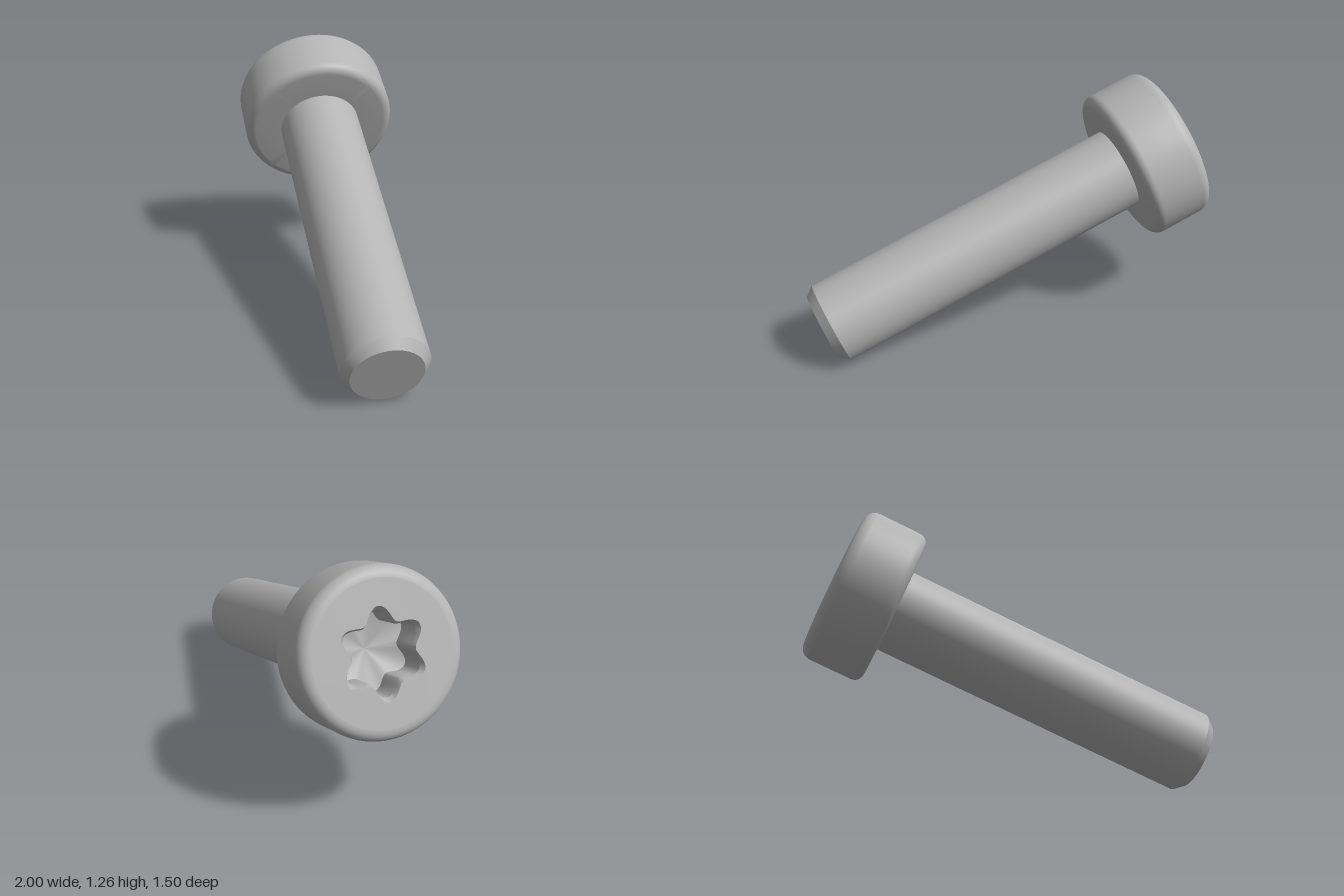
import * as THREE from 'three';
import { toCreasedNormals } from 'three/addons/utils/BufferGeometryUtils.js';

const SHAFT_R = 0.215, TIP_R = 0.176, SHAFT_L = 1.745, CHAMFER = 0.048;
const HEAD_R = 0.407, HEAD_H = 0.335, TOP_ROUND = 0.06, BOTTOM_ROUND = 0.05;
const SIDES = 96;

const steel = new THREE.MeshStandardMaterial({ color: 0xb4b4b4 });
steel.name = 'steel grey';

function part(name, geometry, crease = 0.5) {
  const mesh = new THREE.Mesh(toCreasedNormals(geometry, crease), steel);
  mesh.name = name;
  return mesh;
}

function lathe(points) {
  return new THREE.LatheGeometry(points.map(([x, y]) => new THREE.Vector2(x, y)), SIDES);
}

// Quarter-round profile points about (cx, cy), starting at angle a
function round(cx, cy, r, a) {
  return Array.from({ length: 9 }, (_, i) => {
    const t = a + (i / 8) * Math.PI / 2;
    return [cx + r * Math.cos(t), cy + r * Math.sin(t)];
  });
}

// Six-lobed outline, counterclockwise
function lobes(scale) {
  return Array.from({ length: 120 }, (_, i) => {
    const t = (i / 120) * Math.PI * 2;
    const r = scale * (0.19 - 0.031 * Math.cos(6 * t));
    return new THREE.Vector2(r * Math.cos(t), r * Math.sin(t));
  });
}

// Drive recess: loft of lobed rings [scale, y], facing inward
function recess(levels) {
  const positions = [], index = [], n = 120;
  for (const [scale, y] of levels)
    for (const p of lobes(scale)) positions.push(p.x, y, -p.y);
  for (let j = 0; j < levels.length - 1; j++)
    for (let i = 0; i < n; i++) {
      const a = j * n + i, b = j * n + (i + 1) % n;
      index.push(a, b, a + n);
      if (levels[j + 1][0] > 0) index.push(b, b + n, a + n);
    }
  const g = new THREE.BufferGeometry();
  g.setAttribute('position', new THREE.Float32BufferAttribute(positions, 3));
  g.setIndex(index);
  return g;
}

export function createModel() {
  const screw = new THREE.Group();
  screw.name = 'screw';

  // Shaft with chamfered tip; the head sits on y = 0
  screw.add(part('shaft', lathe([
    [0, -SHAFT_L], [TIP_R, -SHAFT_L], [SHAFT_R, -SHAFT_L + CHAMFER], [SHAFT_R, 0],
  ])));

  // Head sides and underside with rounded rims
  screw.add(part('head', lathe([
    [SHAFT_R, 0],
    ...round(HEAD_R - BOTTOM_ROUND, BOTTOM_ROUND, BOTTOM_ROUND, -Math.PI / 2),
    ...round(HEAD_R - TOP_ROUND, HEAD_H - TOP_ROUND, TOP_ROUND, 0),
  ])));

  // Flat head face with the lobed opening
  const face = new THREE.Shape().absarc(0, 0, HEAD_R - TOP_ROUND, 0, Math.PI * 2);
  face.holes.push(new THREE.Path(lobes(1).reverse()));
  const faceGeo = new THREE.ShapeGeometry(face, SIDES / 2);
  faceGeo.rotateX(-Math.PI / 2).translate(0, HEAD_H, 0);
  screw.add(part('headFace', faceGeo));

  // Chamfered rim, straight walls and shallow conical floor
  screw.add(part('driveRecess', recess([
    [1, HEAD_H], [0.92, HEAD_H - 0.025], [0.92, HEAD_H - 0.18], [0, HEAD_H - 0.225],
  ])));

  // Tilt: local y runs from tip to head, one lobe points as far up as it can
  const axis = new THREE.Vector3(-0.807, 0.342, -0.482).normalize();
  const up = new THREE.Vector3(0, 1, 0).addScaledVector(axis, -axis.y).normalize();
  const side = new THREE.Vector3().crossVectors(axis, up);
  screw.quaternion.setFromRotationMatrix(new THREE.Matrix4().makeBasis(side, axis, up));

  // Centre and rest on the ground
  const model = new THREE.Group();
  model.name = 'panHeadScrew';
  model.add(screw);
  model.updateMatrixWorld(true);
  const box = new THREE.Box3().setFromObject(model, true);
  const c = box.getCenter(new THREE.Vector3());
  screw.position.set(-c.x, -box.min.y, -c.z);
  return model;
}
